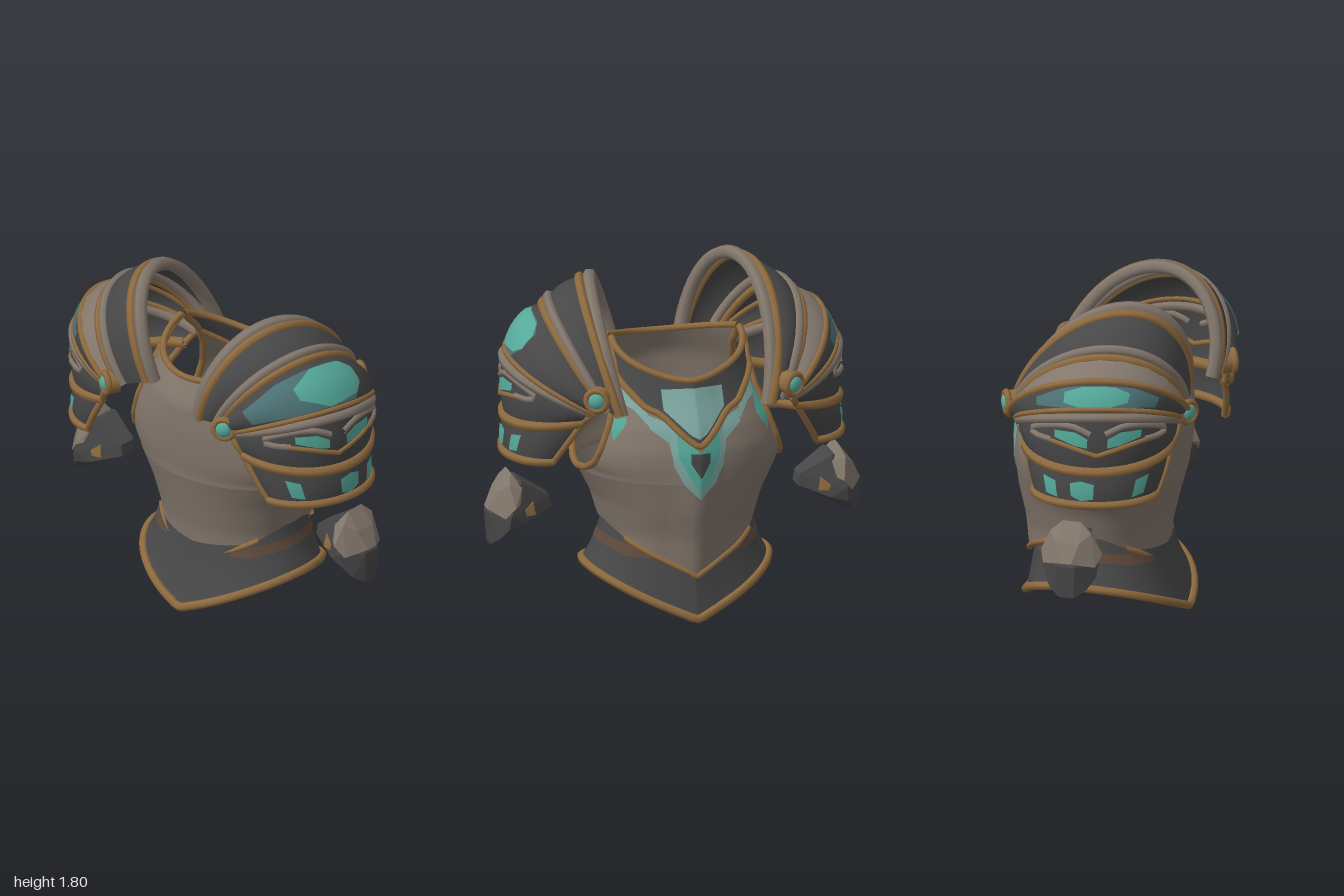
import * as THREE from 'three';
import { ConvexGeometry } from 'three/addons/geometries/ConvexGeometry.js';

const mat = (name, color) => new THREE.MeshStandardMaterial({ name, color, side: THREE.DoubleSide });
const V = (x, y, z) => new THREE.Vector3(x, y, z);
const lerp = THREE.MathUtils.lerp;
// row of a table interpolated by its first column
const at = (table, q) => {
  let k = 0;
  while (k < table.length - 2 && q > table[k + 1][0]) k++;
  const [a, b] = [table[k], table[k + 1]];
  const f = THREE.MathUtils.clamp((q - a[0]) / (b[0] - a[0]), 0, 1);
  return a.map((p, i) => lerp(p, b[i], f));
};

export function createModel() {
  const tan = mat('warm grey steel', 0x83776c), dark = mat('dark iron', 0x484747);
  const bronze = mat('bronze trim', 0x8f6b3f), teal = mat('teal enamel', 0x55a99a);
  const pale = mat('pale teal', 0x7da7a1), deep = mat('deep teal', 0x4c7275);
  const brown = mat('brown leather', 0x5f4a3d);
  const model = new THREE.Group();
  model.name = 'armour';

  const add = (parent, name, geo, m) => {
    const mesh = new THREE.Mesh(geo, m);
    mesh.name = name;
    parent.add(mesh);
    return mesh;
  };
  // surface grid from a function of (u, v), both 0..1
  const grid = (fn, nu, nv) => {
    const pos = [], idx = [];
    for (let j = 0; j <= nv; j++) for (let i = 0; i <= nu; i++) pos.push(...fn(i / nu, j / nv).toArray());
    for (let j = 0; j < nv; j++) for (let i = 0; i < nu; i++) {
      const a = j * (nu + 1) + i, b = a + nu + 1;
      idx.push(a, a + 1, b, b, a + 1, b + 1);
    }
    const g = new THREE.BufferGeometry();
    g.setAttribute('position', new THREE.Float32BufferAttribute(pos, 3));
    g.setIndex(idx);
    g.computeVertexNormals();
    return g;
  };
  const tube = (parent, name, pts, r, m, closed = false) =>
    add(parent, name, new THREE.TubeGeometry(new THREE.CatmullRomCurve3(pts, closed), pts.length * 2, r, 6, closed), m);
  const sample = (n, fn) => Array.from({ length: n + 1 }, (_, i) => fn(i / n));
  // painted plate on a surface: columns of [u, vLow, vHigh]
  const patch = (parent, name, surf, cols, m, c, off = 0.008) => {
    const n = cols.length - 1;
    add(parent, name, grid((s, t) => {
      const k = Math.min(Math.floor(s * n), n - 1), f = s * n - k;
      const [a, b] = [cols[k], cols[k + 1]];
      const p = surf(lerp(a[0], b[0], f), lerp(lerp(a[1], b[1], f), lerp(a[2], b[2], f), t));
      return p.add(p.clone().sub(c).setLength(off));
    }, n * 5, 6), m);
  };

  // ---- cuirass: y, front depth, back depth, half width, armhole angle
  const profile = [
    [0.24, 0.40, 0.30, 0.40, 90], [0.45, 0.42, 0.32, 0.40, 90], [0.62, 0.46, 0.36, 0.45, 90],
    [0.77, 0.48, 0.40, 0.525, 90], [0.80, 0.48, 0.40, 0.54, 72], [0.85, 0.48, 0.41, 0.565, 61],
    [0.93, 0.475, 0.42, 0.565, 56], [1.05, 0.44, 0.43, 0.525, 54], [1.20, 0.36, 0.43, 0.44, 57],
    [1.32, 0.31, 0.38, 0.385, 65], [1.46, 0.30, 0.32, 0.34, 90]];
  const ridge = (z) => 0.035 * Math.max(0, 1 - Math.abs(z) / 0.14);
  // u runs -1..1 across the sheet, side is 1 for the chest and -1 for the back
  const body = (side, u, y) => {
    const [, xf, xb, w, deg] = at(profile, y), t = u * deg * Math.PI / 180, z = w * Math.sin(t);
    return V(side > 0 ? xf * Math.cos(t) + ridge(z) : -xb * Math.cos(t), y, z);
  };
  const chest = (z, y) => {
    const [, xf, , w] = at(profile, y);
    return V(xf * Math.sqrt(Math.max(0, 1 - (z / w) ** 2)) + ridge(z), y, z);
  };
  const cuirass = new THREE.Group();
  cuirass.name = 'cuirass';
  model.add(cuirass);
  const core = V(0, 0.9, 0);
  const yokeLine = [[0, 0.975], [0.09, 1.0], [0.38, 1.125], [0.57, 1.155], [1, 1.29]];
  const yokeY = (u) => at(yokeLine, Math.abs(u))[1];
  const waistY = (u) => Math.min(0.25 + 0.27 * Math.abs(u) ** 0.9, 0.49);
  for (const side of [1, -1]) {
    const word = side > 0 ? 'chest' : 'back';
    const neckY = (u) => (side > 0 ? 1.29 + 0.16 * u * u : 1.34 + 0.11 * u * u);
    const sheet = (name, lo, hi, nv, m) => add(cuirass, name, grid((s, t) => {
      const u = s * 2 - 1;
      return body(side, u, lerp(lo(u), hi(u), t));
    }, 40, nv), m);
    const edge = (name, fy, r, span) => tube(cuirass, name, sample(24, (s) => {
      const u = (s * 2 - 1) * span;
      return body(side, u, fy(u));
    }), r, bronze);
    sheet(word + 'Lower', waistY, () => 0.77, 10, tan);
    if (side > 0) {
      sheet('chestPlate', () => 0.77, yokeY, 14, tan);
      sheet('yoke', yokeY, neckY, 6, dark);
      edge('yokeTrim', yokeY, 0.019, 1);
    } else sheet('backPlate', () => 0.77, neckY, 16, tan);
    edge(word + 'WaistTrim', waistY, 0.015, 0.62);
    edge(word + 'NeckTrim', neckY, 0.018, 1);
    for (const u of [-1, 1])
      tube(cuirass, word + 'ArmholeTrim', sample(24, (s) => body(side, u, lerp(0.77, 1.45, s ** 1.4))), 0.019, bronze);
  }
  // chest inlays, mirrored about the ridge
  const inlay = (name, half, m, off) =>
    patch(cuirass, name, chest, [...half.slice(1).reverse().map(([z, a, b]) => [-z, a, b]), ...half], m, core, off);
  inlay('throatInlay', [[0, 1.01, 1.25], [0.04, 1.03, 1.25], [0.16, 1.145, 1.24]], pale, 0.008);
  inlay('breastInlayBorder', [[0, 0.69, 0.94], [0.08, 0.77, 1.01], [0.13, 0.87, 1.06], [0.15, 0.99, 1.09], [0.24, 1.06, 1.12]], pale, 0.006);
  inlay('breastInlay', [[0, 0.74, 0.94], [0.06, 0.82, 1.0], [0.11, 0.93, 1.04]], teal, 0.009);
  inlay('breastGem', [[0, 0.81, 0.94], [0.05, 0.89, 0.94]], dark, 0.0125);
  for (const s of [1, -1]) {
    patch(cuirass, 'yokeInlay', chest, [[s * 0.24, 1.07, 1.13], [s * 0.3, 1.14, 1.18], [s * 0.34, 1.16, 1.23]], pale, core);
    patch(cuirass, 'armholeInlay', chest, [[s * 0.34, 1.08, 1.21], [s * 0.375, 1.03, 1.13], [s * 0.41, 0.98, 1.04]], teal, core);
  }

  // ---- skirt
  const skirtAt = (a, v) => {
    const c = Math.cos(a), s = Math.sin(a), f = v ** 1.6;
    const z = s * lerp(0.385, 0.49, f);
    const y = lerp(0.52, 0.012 + 0.22 * Math.abs(s) ** 1.1, v);
    return V(c > 0 ? c * lerp(0.36, 0.43, f) + ridge(z) * 0.7 : c * lerp(0.29, 0.43, f), y, z);
  };
  const ring = (u) => u * 2 * Math.PI;
  add(cuirass, 'skirt', grid((u, v) => skirtAt(ring(u), v), 56, 8), dark);
  tube(cuirass, 'skirtHem', sample(47, (u) => skirtAt(ring(u * 47 / 48), 0.975)), 0.024, bronze, true);
  for (const m of [0.5, 1.5])
    patch(cuirass, 'skirtBand', (a, v) => skirtAt(a * Math.PI, v),
      [[m - 0.34, 0.42, 0.46], [m - 0.22, 0.38, 0.54], [m + 0.22, 0.38, 0.54], [m + 0.32, 0.42, 0.46]], brown, V(0, 0.3, 0), 0.006);

  // ---- shoulder guards
  const guard = (s) => {
    const g = new THREE.Group();
    g.name = s > 0 ? 'frontShoulderGuard' : 'rearShoulderGuard';
    model.add(g);
    const c = V(-0.08, 1.12, 0.4 * s);
    // each arch: front end, crown, back end
    const arch = (f, t, b) => [f, t, b].map((p) => V(p[0], p[1], p[2] * s));
    const A = [
      s > 0 ? arch([0.39, 1.14, 0.39], [-0.15, 1.71, 0.42], [-0.49, 1.22, 0.19])
        : arch([0.39, 1.14, 0.39], [-0.15, 1.765, 0.4], [-0.45, 1.3, 0.15]),
      arch([0.36, 1.17, 0.47], [-0.15, 1.59, 0.66], [-0.49, 1.23, 0.34]),
      arch([0.33, 1.15, 0.53], [-0.14, 1.33, 0.88], [-0.49, 1.2, 0.42]),
      arch([0.28, 1.09, 0.57], [-0.13, 1.03, 0.88], [-0.47, 1.09, 0.48]),
      arch([0.19, 0.85, 0.71], [-0.13, 0.845, 0.89], [-0.43, 0.85, 0.62])];
    const on = ([f, t, b], u) => {
      const m = f.clone().add(b).multiplyScalar(0.5), a = u * Math.PI;
      return m.clone().addScaledVector(f.clone().sub(m), Math.cos(a)).addScaledVector(t.clone().sub(m), Math.sin(a));
    };
    const plate = (i, bulge) => (u, v) => {
      const p = on(A[i], u).lerp(on(A[i + 1], u), v);
      return p.add(p.clone().sub(c).setLength(bulge * Math.sin(Math.PI * v)));
    };
    const surf = [plate(0, 0.035), plate(1, 0.05), plate(2, 0.015), plate(3, 0.01)];
    ['collarPlate', 'crownPlate', 'maskPlate', 'lowerPlate'].forEach((n, i) => {
      add(g, n, grid(surf[i], 28, 6), dark);
    });
    const rim = (name, i, v, r, m) => tube(g, name, sample(20, (u) => surf[i](u, v)), r, m);
    rim('collarRim', 0, 0, 0.036, tan);
    rim('collarEdge', 0, 0.2, 0.026, bronze);
    rim('crownRidge', 0, 0.88, 0.026, tan);
    rim('crownRim', 1, 0.02, 0.024, bronze);
    rim('browRim', 2, 0.0, 0.027, tan);
    rim('browEdge', 1, 0.87, 0.015, bronze);
    rim('maskRim', 3, 0, 0.03, bronze);
    rim('lowerRim', 3, 0.96, 0.024, bronze);
    for (const u of [0, 1]) // end seams
      for (const i of [2, 3]) tube(g, 'endSeam', sample(4, (v) => surf[i](u, v)), 0.018, bronze);

    // crown enamel
    if (s > 0) {
      patch(g, 'crownPanel', surf[1], [[0.37, 0.3, 0.6], [0.42, 0.18, 0.82], [0.7, 0.2, 0.82], [0.86, 0.35, 0.75]], deep, c, 0.006);
      patch(g, 'crownPanelCentre', surf[1], [[0.37, 0.35, 0.6], [0.41, 0.2, 0.74], [0.55, 0.2, 0.82], [0.65, 0.4, 0.6]], teal, c, 0.0095);
    } else {
      patch(g, 'crownBand', surf[1], [[0.04, 0.08, 0.4], [0.5, 0.08, 0.42], [0.96, 0.08, 0.4]], tan, c, 0.006);
      rim('crownBandEdge', 1, 0.46, 0.018, bronze);
      patch(g, 'crownPanel', surf[1], [[0.28, 0.6, 0.75], [0.4, 0.53, 0.84], [0.65, 0.53, 0.84], [0.76, 0.6, 0.78]], deep, c, 0.006);
      patch(g, 'crownPanelCentre', surf[1], [[0.4, 0.6, 0.76], [0.46, 0.55, 0.84], [0.58, 0.55, 0.84], [0.64, 0.62, 0.76]], teal, c, 0.0095);
    }
    // mask and lower band details, paired about the middle
    for (const d of [-1, 1]) {
      const e = (t) => 0.545 + d * t;
      patch(g, 'eyeInlay', surf[2], [[e(0.04), 0.38, 0.54], [e(0.09), 0.26, 0.5], [e(0.18), 0.22, 0.36]], teal, c);
      const line = (name, pts, r, m) => tube(g, name, pts.map(([t, v]) => surf[2](e(t), v)), r, m);
      line('eyeFrame', [[0.03, 0.3], [0.1, 0.16], [0.22, 0.13], [0.32, 0.24], [0.28, 0.36], [0.2, 0.42]], 0.018, tan);
      line('cheekLine', [[0, 0.68], [0.06, 0.6], [0.14, 0.5], [0.22, 0.42]], 0.014, bronze);
      patch(g, 'lowerInlay', surf[3], [[e(0.19), 0.3, 0.75], [e(0.26), 0.25, 0.7]], teal, c);
    }
    patch(g, 'lowerInlayCentre', surf[3], [[0.43, 0.3, 0.65], [0.48, 0.22, 0.78], [0.54, 0.3, 0.72]], teal, c);

    // pivot studs at both ends
    for (const [x, z, d] of [[0.375, 0.515, 1], [-0.515, 0.39, -1]]) {
      const stud = new THREE.Group();
      stud.name = 'pivotStud';
      stud.position.set(x, 1.24, z * s);
      stud.rotation.y = Math.atan2(d, 0.55 * s);
      g.add(stud);
      add(stud, 'studBase', new THREE.CylinderGeometry(0.06, 0.065, 0.07, 14), bronze).rotation.x = Math.PI / 2;
      add(stud, 'studRing', new THREE.TorusGeometry(0.054, 0.018, 6, 14), bronze).position.z = 0.03;
      const gem = add(stud, 'studGem', new THREE.SphereGeometry(0.045, 12, 8), teal);
      gem.position.z = 0.032;
      gem.scale.z = 0.6;
    }
  };

  // ---- gauntlets: rows of half width, y, z
  const hull = (parent, name, half, s, m) => {
    const pts = half.flatMap(([w, y, z]) => [V(-0.055 - w, y, z * s), V(-0.055 + w, y, z * s)]);
    add(parent, name, new ConvexGeometry(pts), m);
  };
  const gauntlet = (s) => {
    const g = new THREE.Group();
    g.name = s > 0 ? 'frontGauntlet' : 'rearGauntlet';
    model.add(g);
    hull(g, 'fist', [[0.05, 0.55, 0.66], [0.05, 0.61, 0.67], [0.12, 0.49, 0.82], [0.09, 0.71, 0.83],
      [0.07, 0.42, 0.9], [0.14, 0.47, 0.91], [0.15, 0.54, 0.9], [0.06, 0.71, 0.9],
      [0.1, 0.41, 0.95], [0.04, 0.37, 0.985], [0.05, 0.54, 0.995]], s, dark);
    hull(g, 'knuckleGuard', [[0.165, 0.59, 0.88], [0.14, 0.53, 0.93], [0.03, 0.56, 1.0], [0.05, 0.755, 0.88],
      [0.11, 0.7, 0.9], [0.06, 0.66, 0.95], [0.1, 0.68, 0.83], [0.14, 0.6, 0.85]], s, tan);
    hull(g, 'wristStrap', [[0.11, 0.53, 0.76], [0.12, 0.56, 0.82], [0.1, 0.6, 0.77], [0.12, 0.53, 0.81]], s, bronze);
  };
  for (const s of [1, -1]) {
    guard(s);
    gauntlet(s);
  }
  return model;
}
